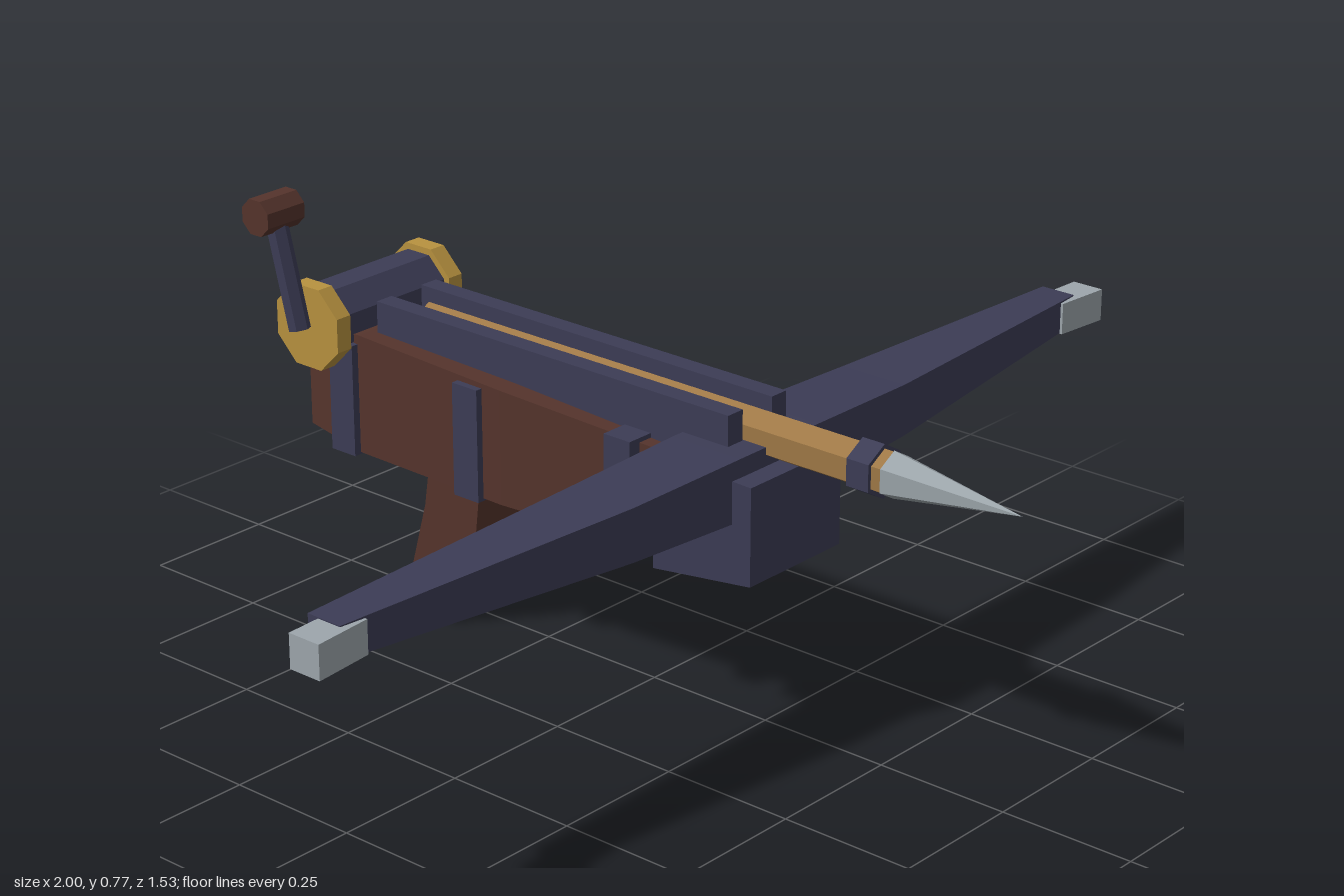
import * as THREE from 'three';

const paint = (name, color) => {
  const m = new THREE.MeshStandardMaterial({ color });
  m.name = name;
  return m;
};

export function createModel() {
  const wood = paint('dark wood', 0x55342c);
  const iron = paint('blue iron', 0x3c3c55);
  const ash = paint('pale shaft wood', 0x9f7846);
  const brass = paint('brass', 0xb8923f);
  const steel = paint('steel', 0x9da6ac);
  const model = new THREE.Group();
  model.name = 'crossbow';

  // Faceted mesh: split the vertices so every face gets its own normal
  const add = (name, geometry, material, x = 0, y = 0, z = 0) => {
    const g = geometry.index ? geometry.toNonIndexed() : geometry;
    g.computeVertexNormals();
    const mesh = new THREE.Mesh(g, material);
    mesh.name = name;
    mesh.position.set(x, y, z);
    model.add(mesh);
    return mesh;
  };

  // Closed solid through four-cornered rings, each counter-clockwise seen from the far end
  const loft = (rings) => {
    const index = [0, 2, 1, 0, 3, 2];
    const n = rings.length;
    for (let s = 0; s < n - 1; s++) {
      for (let i = 0; i < 4; i++) {
        const a = s * 4 + i, b = s * 4 + (i + 1) % 4;
        index.push(a, b, b + 4, a, b + 4, a + 4);
      }
    }
    const e = (n - 1) * 4;
    index.push(e, e + 1, e + 2, e, e + 2, e + 3);
    const g = new THREE.BufferGeometry();
    g.setAttribute('position', new THREE.Float32BufferAttribute(rings.flat(2), 3));
    g.setIndex(index);
    return g;
  };
  const ringZ = ([z, w, y0, y1]) => [[-w, y0, z], [w, y0, z], [w, y1, z], [-w, y1, z]];
  const ringX = ([x, y0, y1, z0, z1]) => [[x, y0, z0], [x, y1, z0], [x, y1, z1], [x, y0, z1]];
  const alongX = (r, length, sides) =>
    new THREE.CylinderGeometry(r, r, length, sides).rotateY(Math.PI / sides).rotateZ(Math.PI / 2);
  const alongZ = (rFront, rBack, length) =>
    new THREE.CylinderGeometry(rFront, rBack, length, 6).rotateX(Math.PI / 2);

  // Stock, swelling slightly in the middle
  add('stock', loft([
    [-0.75, 0.085, 0.306, 0.5], [-0.6, 0.108, 0.296, 0.52],
    [-0.25, 0.117, 0.297, 0.51], [0.13, 0.1, 0.305, 0.49],
  ].map(ringZ)), wood);

  // Front block
  add('frontBlock', loft([[0.11, 0.13, 0.29, 0.5], [0.31, 0.117, 0.31, 0.487]].map(ringZ)), iron);

  // Bands around the stock
  for (const [z, w] of [[0.028, 0.128], [-0.322, 0.129], [-0.632, 0.122]]) {
    add('band', new THREE.BoxGeometry(w * 2, 0.21, 0.058), iron, 0, 0.397, z);
  }

  // Rails either side of the bolt groove
  for (const s of [1, -1]) {
    add(s > 0 ? 'leftRail' : 'rightRail', new THREE.BoxGeometry(0.037, 0.09, 0.81), iron, s * 0.056, 0.533, -0.18);
  }

  // Bow: one tapered limb right across, with steel ends
  const half = [[0.937, 0.441, 0.499, 0.13, 0.199], [0.35, 0.42, 0.515, 0.128, 0.262], [0.1, 0.412, 0.523, 0.127, 0.273]];
  const mirrored = half.map(([x, ...rest]) => [-x, ...rest]);
  add('bow', loft([...mirrored, ...half.slice().reverse()].map(ringX)), iron);
  for (const s of [1, -1]) {
    const rings = [[s * 0.89, 0.438, 0.497, 0.15, 0.209], [s, 0.437, 0.497, 0.155, 0.218]];
    if (s < 0) rings.reverse();
    add(s > 0 ? 'leftBowTip' : 'rightBowTip', loft(rings.map(ringX)), steel);
  }

  // Bolt: shaft, collar and point
  add('boltShaft', alongZ(0.04, 0.04, 1.04), ash, 0, 0.53, -0.01);
  add('boltCollar', alongZ(0.048, 0.048, 0.045), iron, 0, 0.53, 0.468);
  add('boltPoint', alongZ(0, 0.042, 0.255), steel, 0, 0.53, 0.6375);

  // Bent pistol grip
  const profile = [[-0.34, 0.32], [-0.348, 0.29], [-0.36, 0.19], [-0.418, 0.003], [-0.533, 0.038], [-0.484, 0.215], [-0.468, 0.32]];
  const gripShape = new THREE.Shape(profile.map(([z, y]) => new THREE.Vector2(z, y)));
  const grip = new THREE.ExtrudeGeometry(gripShape, { depth: 0.136, bevelEnabled: false });
  add('grip', grip.translate(0, 0, -0.068).rotateY(-Math.PI / 2), wood);

  // Winding drum with brass end discs
  add('windingDrum', alongX(0.069, 0.26, 8), iron, 0, 0.531, -0.677);
  for (const s of [1, -1]) {
    add(s > 0 ? 'leftDrumDisc' : 'rightDrumDisc', alongX(0.082, 0.033, 8), brass, s * 0.141, 0.531, -0.677);
  }

  // Crank arm and knob on the right-hand side
  const rise = 0.207, lean = 0.054;
  const arm = add('crankArm', new THREE.CylinderGeometry(0.02, 0.02, Math.hypot(rise, lean), 6), iron,
    -0.175, 0.531 + rise / 2, -0.677 - lean / 2);
  arm.rotation.x = -Math.atan2(lean, rise);
  add('crankKnob', alongX(0.035, 0.088, 8), wood, -0.177, 0.738, -0.731);

  return model;
}
